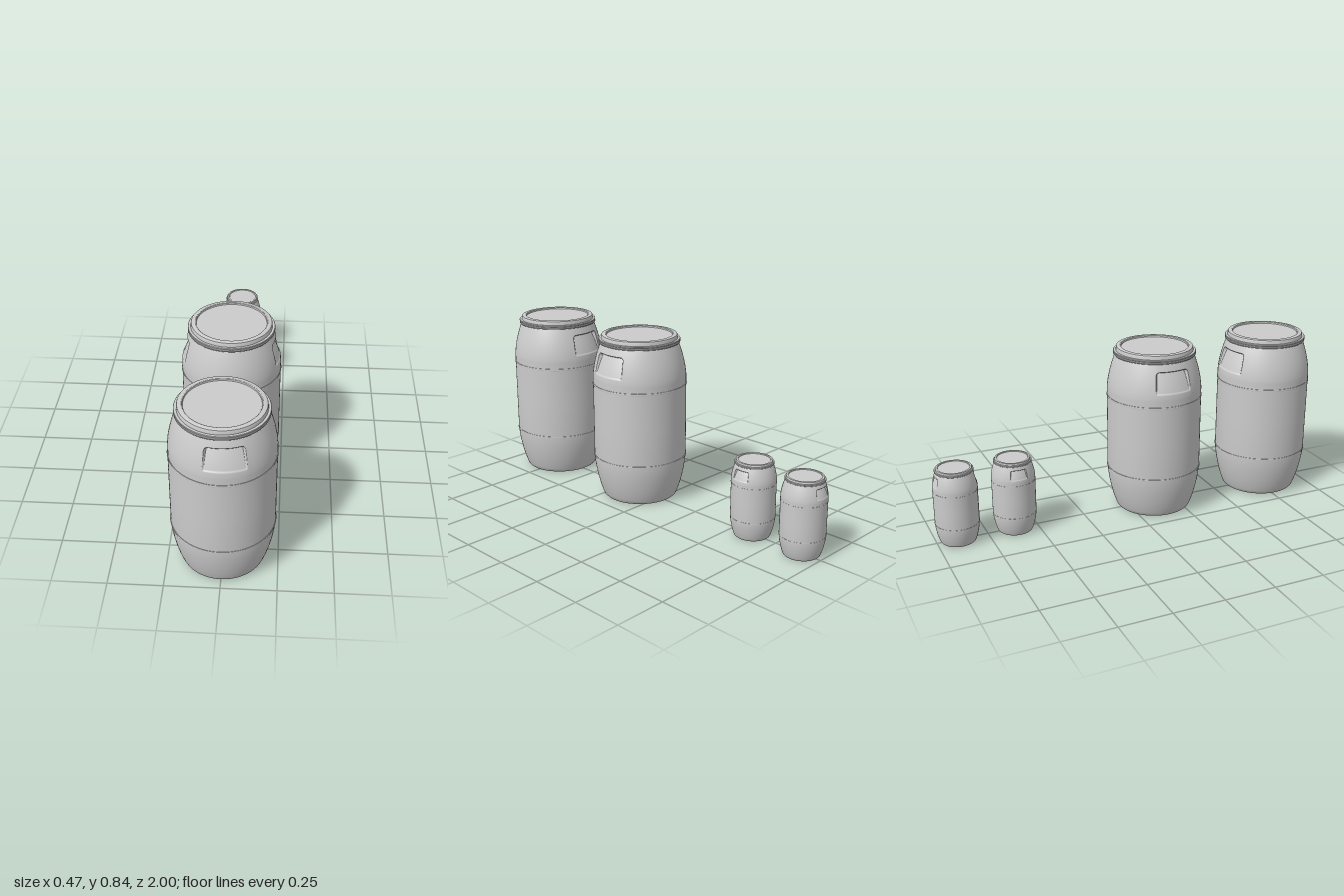
import * as THREE from 'three';
import { toCreasedNormals } from 'three/addons/utils/BufferGeometryUtils.js';

const SEGMENTS = 96;
const SHOULDER_BOTTOM = 0.595, SHOULDER_TOP = 0.806;

// Turned part from [radius, height] pairs, with sharp edges kept
function turned(points) {
  const profile = points.map(([r, y]) => new THREE.Vector2(r, y));
  return toCreasedNormals(new THREE.LatheGeometry(profile, SEGMENTS), 0.5);
}

// Shoulder radius: straight, then curving in towards the neck
function shoulderRadius(y) {
  const t = Math.max(0, (y - 0.63) / 0.175);
  return 0.234 - 0.041 * Math.pow(t, 1.6);
}

// Depth of the hand recess at angle a from its middle: shallow below, deep above
function recessDepth(a, y) {
  const corner = y > 0.71 ? 0.016 : 0.006;
  const dx = Math.abs(a) * 0.215 - 0.088 + corner;
  const dy = Math.abs(y - 0.7125) - 0.0525 + corner;
  const distance = Math.hypot(Math.max(dx, 0), Math.max(dy, 0)) + Math.min(Math.max(dx, dy), 0) - corner;
  const inside = THREE.MathUtils.smoothstep(-distance, 0, 0.005);
  return inside * THREE.MathUtils.mapLinear(y, 0.66, 0.765, 0.003, 0.02);
}

// Shoulder skin with a recess on two opposite sides
function shoulderGeometry() {
  const angles = [];
  const span = (from, to, count) => {
    for (let i = 0; i < count; i++) angles.push(from + (to - from) * i / count);
  };
  for (const middle of [0, Math.PI]) {
    span(middle - 0.43, middle - 0.35, 10);
    span(middle - 0.35, middle + 0.35, 14);
    span(middle + 0.35, middle + 0.43, 10);
    span(middle + 0.43, middle + Math.PI - 0.43, 22);
  }
  const rows = 70, n = angles.length;
  const positions = [], index = [];
  for (let j = 0; j <= rows; j++) {
    const y = THREE.MathUtils.lerp(SHOULDER_BOTTOM, SHOULDER_TOP, j / rows);
    for (const angle of angles) {
      const a = angle > Math.PI / 2 ? angle - Math.PI : angle;
      const offset = a > Math.PI / 2 ? a - Math.PI : a;
      const r = shoulderRadius(y) - recessDepth(offset, y);
      positions.push(r * Math.sin(angle), y, r * Math.cos(angle));
    }
  }
  for (let j = 0; j < rows; j++) {
    for (let i = 0; i < n; i++) {
      const k = (i + 1) % n;
      const a = j * n + i, b = j * n + k;
      index.push(a, b, b + n, a, b + n, a + n);
    }
  }
  const geometry = new THREE.BufferGeometry();
  geometry.setAttribute('position', new THREE.Float32BufferAttribute(positions, 3));
  geometry.setIndex(index);
  geometry.computeVertexNormals();
  return geometry;
}

// Thin raised band around the body
function bandGeometry(y) {
  return turned([
    [0.232, y - 0.006], [0.2355, y - 0.005], [0.2365, y], [0.2355, y + 0.005], [0.232, y + 0.006],
  ]);
}

export function createModel() {
  const model = new THREE.Group();
  model.name = 'barrels';
  const material = new THREE.MeshStandardMaterial({ color: 0xcccccc });

  const parts = {
    // Hollowed underside, rounded foot, flared lower wall and straight side
    body: turned([
      [0, 0.022], [0.105, 0.022], [0.118, 0.018], [0.132, 0.006], [0.142, 0.001], [0.152, 0],
      [0.174, 0], [0.182, 0.002], [0.188, 0.008], [0.194, 0.022], [0.206, 0.058], [0.217, 0.1],
      [0.226, 0.145], [0.231, 0.18], [0.234, 0.217], [0.234, 0.4], [0.234, SHOULDER_BOTTOM],
    ]),
    shoulder: shoulderGeometry(),
    lowerBand: bandGeometry(0.217),
    upperBand: bandGeometry(0.593),
    // Clamp ring with a groove around its middle
    clampRing: turned([
      [0.188, 0.803], [0.201, 0.803], [0.2025, 0.805], [0.2025, 0.81], [0.199, 0.8125],
      [0.2025, 0.815], [0.2025, 0.82], [0.201, 0.822], [0.186, 0.822],
    ]),
    // Lid with a raised rim and sunken centre
    lid: turned([
      [0.19, 0.82], [0.189, 0.836], [0.187, 0.841], [0.183, 0.843], [0.168, 0.843],
      [0.165, 0.841], [0.163, 0.835], [0, 0.835],
    ]),
  };

  // Two large and two small barrels in a row: depth position, scale, turn
  const layout = [
    ['frontLargeBarrel', 0.766, 1, 0.11],
    ['rearLargeBarrel', 0.137, 1, Math.PI / 2],
    ['frontSmallBarrel', -0.61, 0.45, Math.PI / 2],
    ['rearSmallBarrel', -0.895, 0.45, 0],
  ];
  for (const [name, z, scale, turn] of layout) {
    const barrel = new THREE.Group();
    barrel.name = name;
    for (const [part, geometry] of Object.entries(parts)) {
      const mesh = new THREE.Mesh(geometry, material);
      mesh.name = part;
      barrel.add(mesh);
    }
    barrel.position.z = z;
    barrel.scale.setScalar(scale);
    barrel.rotation.y = turn;
    model.add(barrel);
  }
  return model;
}
